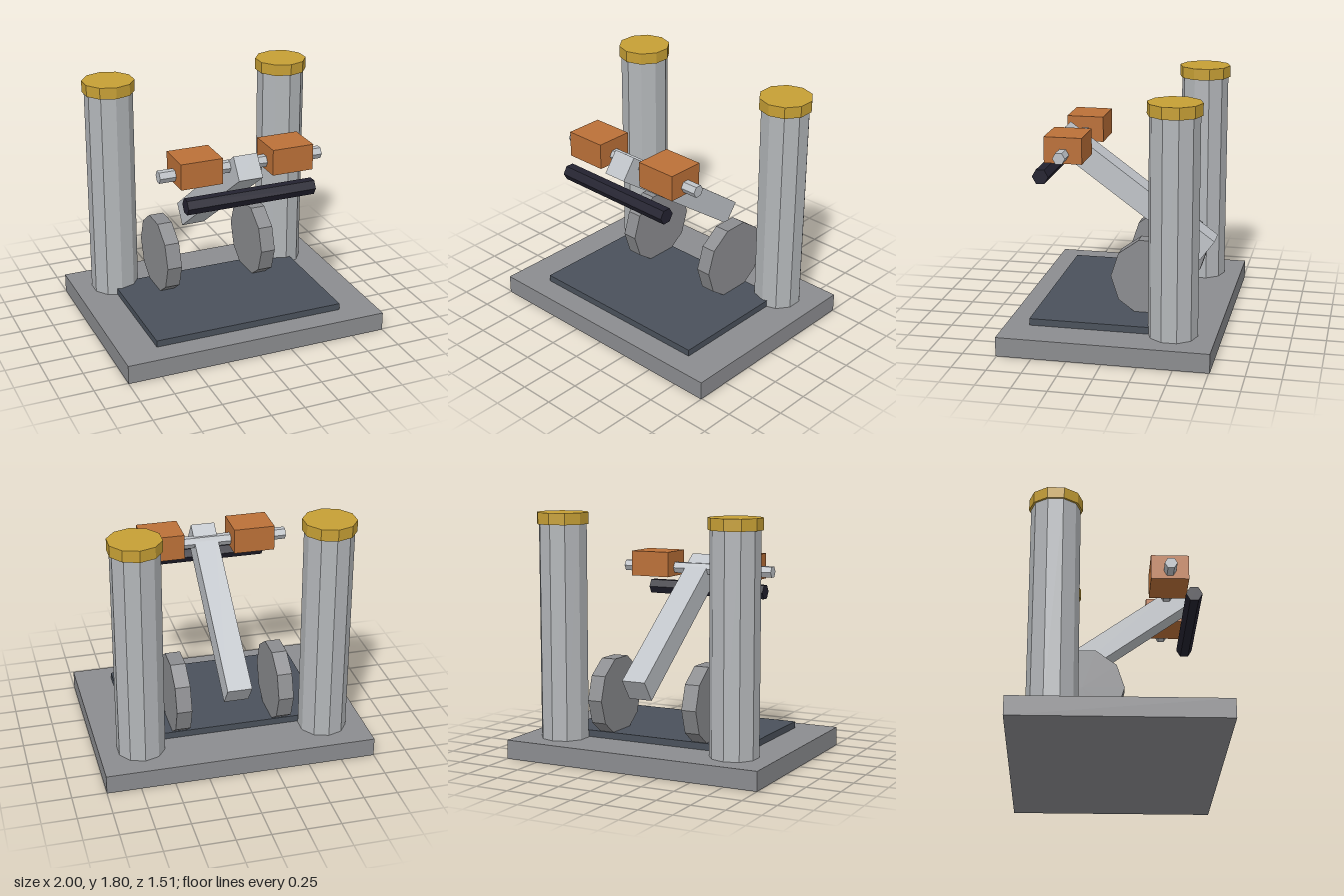
import * as THREE from 'three';

const mat = (name, color) => {
  const m = new THREE.MeshStandardMaterial({ color, flatShading: true });
  m.name = name;
  return m;
};

export function createModel() {
  const frameGrey = mat('frame grey', 0x8b8c8f);
  const matBlue = mat('slate blue', 0x4a515b);
  const steel = mat('column steel', 0xb3b6b9);
  const brightSteel = mat('bright steel', 0xbfc3c8);
  const gold = mat('gold', 0xc69f35);
  const orange = mat('copper orange', 0xbb7038);
  const black = mat('grip black', 0x232230);

  const model = new THREE.Group();
  model.name = 'pressMachine';

  const add = (name, geometry, material, x, y, z) => {
    const mesh = new THREE.Mesh(geometry, material);
    mesh.name = name;
    mesh.position.set(x, y, z);
    model.add(mesh);
    return mesh;
  };
  const box = (w, h, d) => new THREE.BoxGeometry(w, h, d);
  const post = (r, h, sides) => new THREE.CylinderGeometry(r, r, h, sides);
  // prism lying along x
  const bar = (r, length, sides) => post(r, length, sides).rotateZ(Math.PI / 2);

  // Floor slab and raised mat
  add('base', box(2, 0.14, 1.515), frameGrey, 0, 0.07, 0);
  add('floorMat', box(1.45, 0.05, 0.965), matBlue, 0, 0.165, 0.1025);

  // Mirrored columns, caps, wheels and weight blocks
  for (const [side, s] of [['left', 1], ['right', -1]]) {
    add(side + 'Column', post(0.178, 1.58, 10), steel, s * 0.69, 0.93, -0.45);
    add(side + 'ColumnCap', post(0.193, 0.085, 10), gold, s * 0.69, 1.7625, -0.45);
    add(side + 'Wheel', bar(0.297, 0.112, 10), frameGrey, s * 0.38, 0.45, -0.245);
    add(side + 'WeightBlock', box(0.31, 0.19, 0.276), orange, s * 0.345, 1.38, 0.38);
  }

  // Sloping lever arm rising to the front
  const arm = add('leverArm', box(0.18, 0.18, 1.38), brightSteel, 0, 0.975, -0.04);
  arm.rotation.x = -Math.PI / 5;

  // Cross rod through the blocks and the grip below it
  add('crossRod', bar(0.046, 1.235, 6), brightSteel, 0, 1.35, 0.38);
  add('gripBar', bar(0.06, 0.966, 6), black, 0, 1.175, 0.553);

  return model;
}
